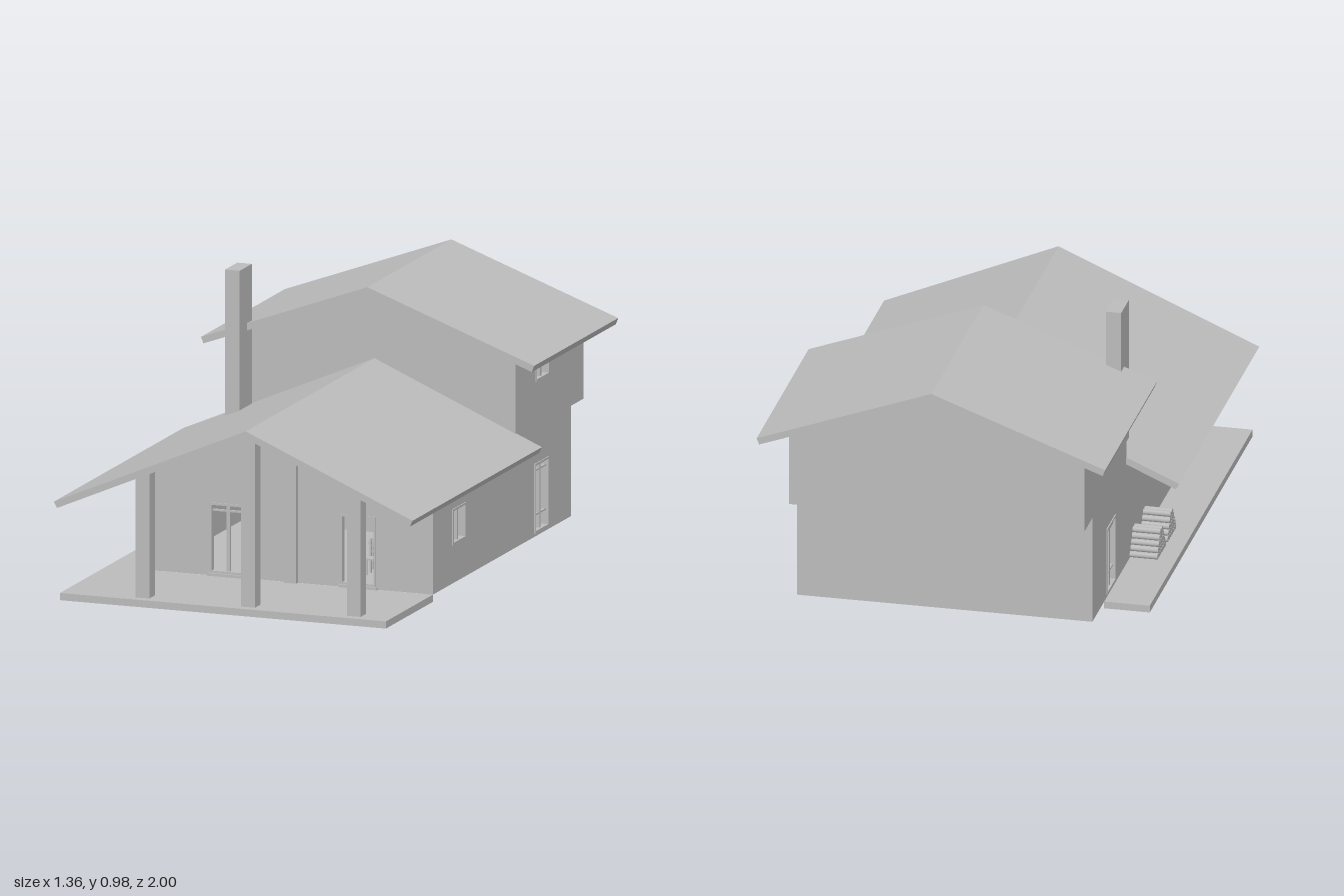
import * as THREE from 'three';

const grey = new THREE.MeshStandardMaterial({ color: 0xbcbcbc });
grey.name = 'plain grey';

const rect = (x0, y0, x1, y1) => [[x0, y0], [x1, y0], [x1, y1], [x0, y1]];
const toPoints = (list) => list.map(([x, y]) => new THREE.Vector2(x, y));

// Flat panel with openings, front face at depth
function panelGeometry(outline, holes, depth) {
  const shape = new THREE.Shape(toPoints(outline));
  for (const h of holes) shape.holes.push(new THREE.Path(toPoints(h)));
  return new THREE.ExtrudeGeometry(shape, { depth, bevelEnabled: false });
}

function add(parent, name, geometry) {
  const mesh = new THREE.Mesh(geometry, grey);
  mesh.name = name;
  parent.add(mesh);
  return mesh;
}

// Box given by its minimum and maximum on each axis
function box(parent, name, x0, x1, y0, y1, z0, z1) {
  const mesh = add(parent, name, new THREE.BoxGeometry(x1 - x0, y1 - y0, z1 - z0));
  mesh.position.set((x0 + x1) / 2, (y0 + y1) / 2, (z0 + z1) / 2);
  return mesh;
}

// Panel standing across the house, from z0 to z1
function crossPanel(parent, name, outline, holes, z0, z1) {
  const mesh = add(parent, name, panelGeometry(outline, holes, z1 - z0));
  mesh.position.z = z0;
  return mesh;
}

// Frame for an opening [u0, y0, u1, y1], with mullions and optional rails
function frame(name, [u0, y0, u1, y1], mullions, rails) {
  const g = new THREE.Group();
  g.name = name;
  const t = 0.008;
  crossPanel(g, 'frame', rect(u0, y0, u1, y1), [rect(u0 + t, y0 + t, u1 - t, y1 - t)], -0.02, 0.004);
  const mid = (u0 + u1) / 2;
  if (mullions) box(g, 'mullion', mid - 0.006, mid + 0.006, y0 + t, y1 - t, -0.017, -0.005);
  for (const r of rails) box(g, 'rail', u0 + t, u1 - t, r - 0.003, r + 0.003, -0.016, -0.006);
  return g;
}

function makeChair(x, z) {
  const g = new THREE.Group();
  g.name = 'chair';
  box(g, 'seat', -0.024, 0.024, 0.055, 0.061, -0.024, 0.024);
  for (const sx of [-1, 1]) {
    box(g, 'frontLeg', sx * 0.021 - 0.003, sx * 0.021 + 0.003, 0, 0.055, 0.017, 0.023);
    box(g, 'backPost', sx * 0.021 - 0.003, sx * 0.021 + 0.003, 0, 0.125, -0.023, -0.017);
  }
  for (const y of [0.08, 0.1, 0.12]) box(g, 'backSlat', -0.02, 0.02, y - 0.005, y + 0.005, -0.022, -0.018);
  g.position.set(x, 0.035, z);
  return g;
}

export function createModel() {
  const house = new THREE.Group();
  house.name = 'house';

  const left = -0.49, right = 0.58, ridge = 0.045, wall = 0.03;

  // Porch slab with a strip along the left side
  const slab = add(house, 'porchSlab', panelGeometry(
    [[-0.655, -1], [0.58, -1], [0.58, -0.545], [left, -0.545], [left, 0.605], [-0.655, 0.605]], [], 0.026));
  slab.rotation.x = -Math.PI / 2;
  slab.scale.y = 1;
  box(house, 'postFooting', 0.02, 0.07, 0.008, 0.027, 0.51, 0.544);

  // Floors
  box(house, 'groundFloor', left + 0.001, right - 0.001, 0.026, 0.036, -0.789, 0.544);
  box(house, 'upperFloor', left + 0.001, right - 0.001, 0.426, 0.441, -0.909, -0.256);

  // Side walls; the outline runs along -z
  const openings = {
    smallWindow: [-0.36, 0.165, -0.23, 0.295],
    sideDoor: [0.435, 0.038, 0.57, 0.29],
    upperWindow: [0.445, 0.585, 0.575, 0.69],
  };
  const sideOutline = [[-0.545, 0.026], [0.79, 0.026], [0.79, 0.425], [0.91, 0.425],
    [0.91, 0.72], [0.255, 0.72], [0.255, 0.42], [-0.545, 0.42]];
  for (const [side, x] of [['left', left], ['right', right - wall]]) {
    const m = add(house, side + 'Wall',
      panelGeometry(sideOutline, Object.values(openings).map((o) => rect(...o)), wall));
    m.rotation.y = Math.PI / 2;
    m.position.x = x;
    for (const [name, [a, y0, b, y1]] of Object.entries(openings)) {
      const isLeft = side === 'left';
      const o = isLeft ? [-b, y0, -a, y1] : [a, y0, b, y1];
      const f = frame(side + name, o, true, name === 'sideDoor' ? [0.1, 0.26] : []);
      f.rotation.y = isLeft ? -Math.PI / 2 : Math.PI / 2;
      f.position.x = isLeft ? left : right;
      house.add(f);
    }
  }

  // Front wall with gable and two glazed door openings
  const a = left + 0.001, b = right - 0.001;
  const doors = [[-0.265, 0.036, -0.13, 0.29], [0.23, 0.036, 0.365, 0.29]];
  crossPanel(house, 'frontWall',
    [[a, 0.027], [b, 0.027], [b, 0.42], [ridge, 0.648], [a, 0.42]],
    doors.map((d) => rect(...d)), 0.515, 0.545);
  doors.forEach((d, i) => {
    const f = frame('frontDoor', d, i === 0, i === 0 ? [0.262] : []);
    f.position.z = 0.545;
    house.add(f);
    box(house, 'doorstep', d[0] - 0.006, d[2] + 0.006, 0.026, 0.036, 0.53, 0.556);
  });

  // Upper gable walls and lower back wall
  for (const [name, z0] of [['upperFrontWall', -0.285], ['upperBackWall', -0.91]]) {
    crossPanel(house, name,
      [[a, 0.425], [b, 0.425], [b, 0.72], [ridge, 0.918], [a, 0.72]], [], z0, z0 + wall);
  }
  box(house, 'lowerBackWall', a, b, 0.026, 0.43, -0.79, -0.76);

  // Inner walls
  box(house, 'crossPartition', left + 0.02, right - 0.02, 0.03, 0.43, -0.28, -0.26);
  box(house, 'longPartition', 0.035, 0.055, 0.03, 0.43, -0.77, -0.27);

  // Roofs
  crossPanel(house, 'lowerRoof',
    [[ridge, 0.667], [0.677, 0.396], [0.667, 0.374], [ridge, 0.641], [-0.67, 0.33], [-0.682, 0.352]],
    [], -0.262, 0.99);
  crossPanel(house, 'upperRoof',
    [[ridge, 0.938], [0.677, 0.706], [0.668, 0.683], [ridge, 0.911], [-0.576, 0.683], [-0.585, 0.706]],
    [], -1, -0.187);

  // Chimney
  box(house, 'chimney', -0.465, -0.41, 0.44, 0.975, -0.232, -0.114);

  // Porch posts reaching the roof, and a pilaster on the front wall
  for (const [x, top] of [[-0.355, 0.475], [ridge, 0.645], [0.445, 0.48]]) {
    box(house, 'porchPost', x - 0.026, x + 0.026, 0.026, top, 0.912, 0.967);
  }
  box(house, 'wallPost', 0.022, 0.068, 0.026, 0.645, 0.535, 0.56);

  // Two firewood stacks against the left wall
  const log = new THREE.CylinderGeometry(0.0115, 0.0115, 0.1, 8);
  log.rotateZ(Math.PI / 2);
  for (const zc of [-0.14, 0.02]) {
    const pile = new THREE.Group();
    pile.name = 'firewoodStack';
    for (let row = 0; row < 5; row++) {
      const count = 6 - row;
      for (let i = 0; i < count; i++) {
        add(pile, 'log', log).position.set(-0.54, 0.037 + row * 0.0192, zc + (i - (count - 1) / 2) * 0.023);
      }
    }
    house.add(pile);
  }

  // Furniture seen through the front openings
  house.add(makeChair(0.285, 0.36));
  const table = new THREE.Group();
  table.name = 'table';
  box(table, 'tableTop', 0.24, 0.44, 0.13, 0.137, 0.16, 0.3);
  for (const x of [0.25, 0.43]) {
    for (const z of [0.17, 0.29]) box(table, 'tableLeg', x - 0.005, x + 0.005, 0.036, 0.13, z - 0.005, z + 0.005);
  }
  house.add(table);
  box(house, 'cabinet', -0.175, -0.09, 0.036, 0.145, 0.0, 0.1);

  return house;
}
